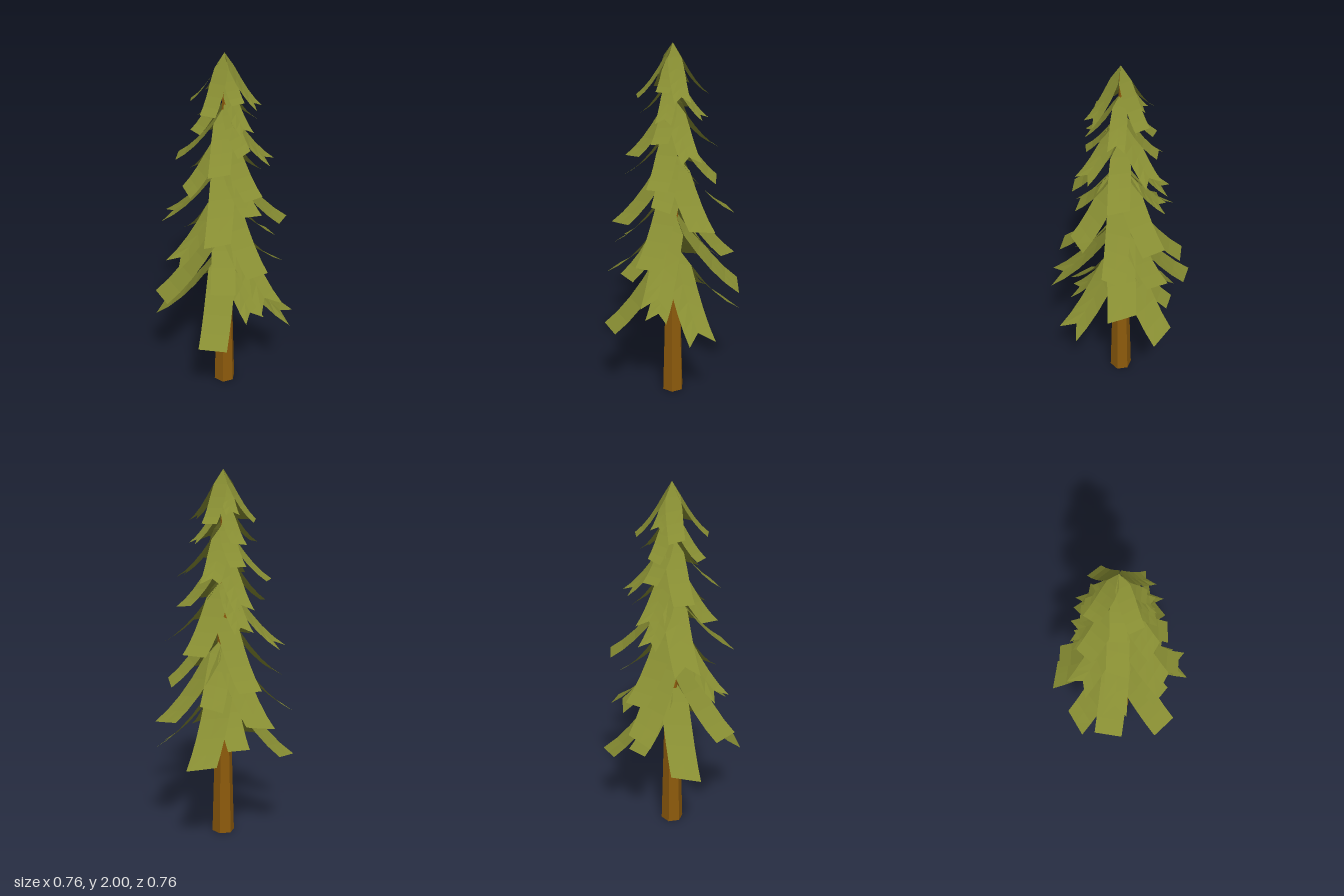
import * as THREE from 'three';

const leafGreen = new THREE.MeshStandardMaterial({ color: 0x868c32, side: THREE.DoubleSide, flatShading: true });
leafGreen.name = 'leaf green';
const barkBrown = new THREE.MeshStandardMaterial({ color: 0x8c5a0c, flatShading: true });
barkBrown.name = 'bark brown';

// End shapes: reach of the left, middle and right side of a branch tip
const SQUARE = [1, 1, 1], NOTCH = [1, 0.84, 1], SLANT_A = [1, 0.95, 0.9], SLANT_B = [0.9, 0.95, 1];

// One drooping strip running out along +x: pointed and steep at the trunk, flatter at the tip
function branchGeometry(reach, drop, width, end, rows = 5) {
  const pos = [], index = [];
  for (let i = 0; i <= rows; i++) {
    // neighbouring strips of a tier meet at 45 degrees until full width
    const half = Math.min(width / 2, reach * i / rows);
    for (let j = 0; j < 3; j++) {
      const t = (i / rows) * end[j];
      const fall = 0.5 * t + 0.5 * (1 - (1 - t) ** 2);
      pos.push(reach * t, -drop * fall, (j - 1) * half);
    }
  }
  for (let i = 0; i < rows; i++) {
    for (let j = 0; j < 2; j++) {
      const a = i * 3 + j, b = a + 1, c = a + 4, d = a + 3;
      index.push(a, b, c, a, c, d);
    }
  }
  const g = new THREE.BufferGeometry();
  g.setAttribute('position', new THREE.Float32BufferAttribute(pos, 3));
  g.setIndex(index);
  const flat = g.toNonIndexed();
  flat.computeVertexNormals();
  return flat;
}

// Tiers from the ground up; angles in degrees from +x towards +z
const TIERS = [
  { tip: 0.465, reach: 0.38, drop: 0.45, width: 0.155, angles: [1, 91, 180, 270.5], ends: [NOTCH, SQUARE, SLANT_A, SLANT_B] },
  { tip: 0.555, reach: 0.28, drop: 0.34, width: 0.12, angles: [45, 235], ends: [NOTCH, SQUARE] },
  { tip: 0.68, reach: 0.385, drop: 0.43, width: 0.153, angles: [40, 144, 220, 309], ends: [NOTCH, SQUARE, SLANT_A, SLANT_B] },
  { tip: 0.77, reach: 0.295, drop: 0.35, width: 0.13, angles: [83, 265], ends: [SQUARE, SLANT_A] },
  { tip: 0.88, reach: 0.33, drop: 0.38, width: 0.13, angles: [50, 139, 227, 317], ends: [SQUARE, NOTCH, SQUARE, SLANT_A] },
  { tip: 1.07, reach: 0.33, drop: 0.36, width: 0.135, angles: [-3, 88, 178, 279], ends: [SLANT_A, SLANT_B, NOTCH, SQUARE] },
  { tip: 1.17, reach: 0.24, drop: 0.28, width: 0.11, angles: [42, 225], ends: [SLANT_A, NOTCH] },
  { tip: 1.29, reach: 0.25, drop: 0.3, width: 0.115, angles: [45, 137, 226, 313], ends: [SQUARE, SLANT_A, NOTCH, SLANT_B] },
  { tip: 1.43, reach: 0.25, drop: 0.29, width: 0.11, angles: [3, 88, 178, 268], ends: [NOTCH, SLANT_B, SQUARE, NOTCH] },
  { tip: 1.51, reach: 0.19, drop: 0.24, width: 0.09, angles: [48, 228], ends: [SLANT_B, SQUARE] },
  { tip: 1.62, reach: 0.18, drop: 0.23, width: 0.085, angles: [42, 136, 224, 318], ends: [NOTCH, SQUARE, SLANT_A, NOTCH] },
  { tip: 1.73, reach: 0.185, drop: 0.27, width: 0.085, angles: [10, 108, 184, 275], ends: [NOTCH, SQUARE, SLANT_B, SQUARE] },
  { tip: 1.77, reach: 0.13, drop: 0.2, width: 0.075, angles: [50, 230], ends: [SQUARE, NOTCH] },
];

export function createModel() {
  const model = new THREE.Group();
  model.name = 'pineTree';

  // Six-sided tapering trunk
  const trunk = new THREE.Mesh(new THREE.CylinderGeometry(0.008, 0.062, 1.94, 6), barkBrown);
  trunk.name = 'trunk';
  trunk.position.y = 0.97;
  model.add(trunk);

  // Tiers of branches
  TIERS.forEach((tier, n) => {
    const group = new THREE.Group();
    group.name = `branchTier${n + 1}`;
    group.position.y = tier.tip + tier.drop;
    tier.angles.forEach((angle, k) => {
      const geometry = branchGeometry(tier.reach, tier.drop, tier.width, tier.ends[k]);
      const branch = new THREE.Mesh(geometry, leafGreen);
      branch.name = `branch${k + 1}`;
      branch.rotation.y = -THREE.MathUtils.degToRad(angle);
      group.add(branch);
    });
    model.add(group);
  });
  return model;
}
